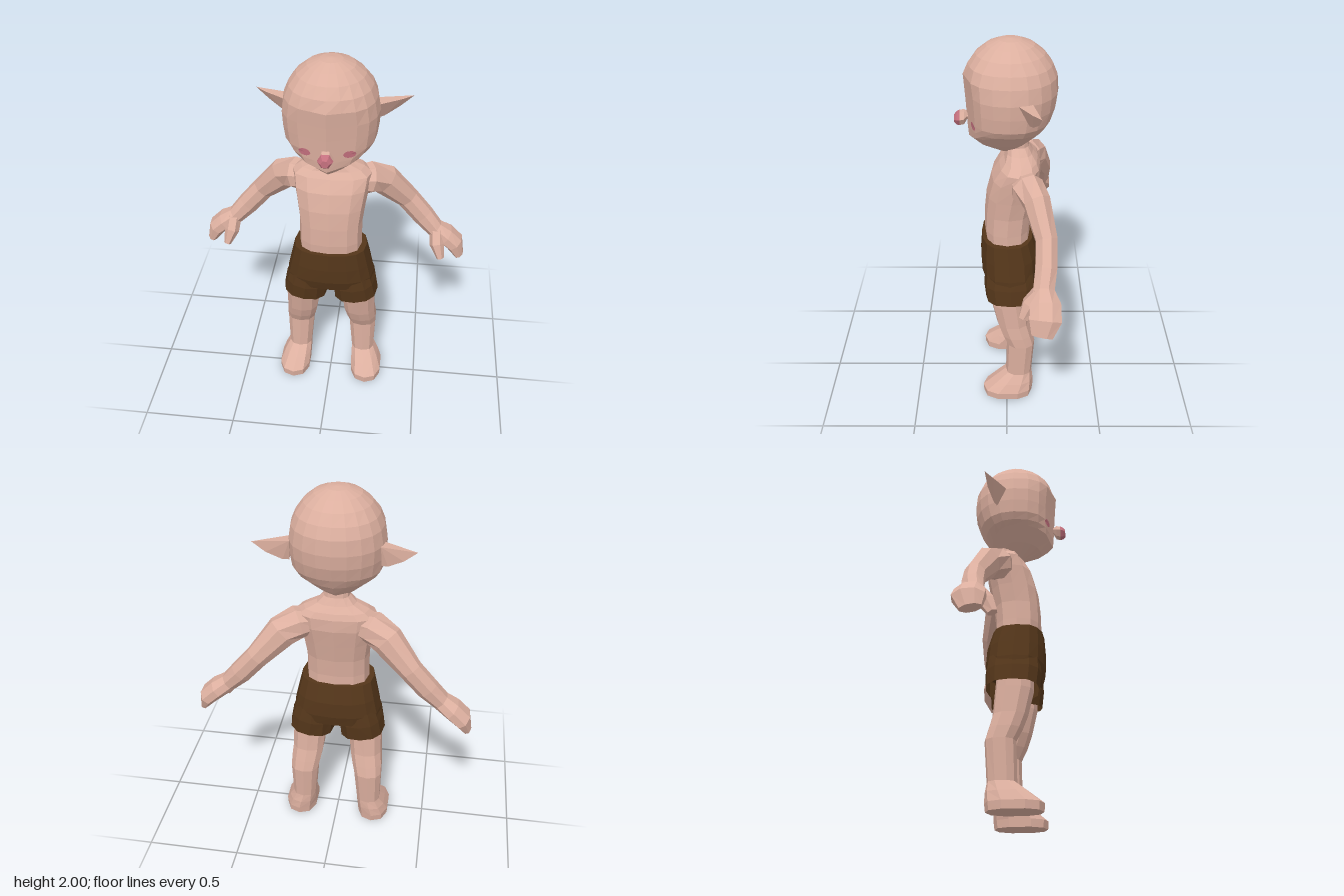
import * as THREE from 'three';
import { ConvexGeometry } from 'three/addons/geometries/ConvexGeometry.js';

const V = (x, y, z) => new THREE.Vector3(x, y, z);
const bend = (t, p) => Math.sign(t) * Math.pow(Math.abs(t), p);

// Horizontal ring: half width w, back zb, front zf; pw/pz below 1 give a boxier outline
function ring(y, cx, w, zb, zf, { n = 12, pw = 1, pz = 1, tilt = 0, mid = (zb + zf) / 2 } = {}) {
  return Array.from({ length: n }, (_, i) => {
    const a = (i / n) * Math.PI * 2, c = bend(Math.cos(a), pz);
    const x = w * bend(Math.sin(a), pw);
    return V(cx + x, y + tilt * x, mid + c * (c > 0 ? zf - mid : mid - zb));
  });
}

// Skin of quads through rings, flat shaded, with fan caps
function loft(rings, capped = true) {
  const n = rings[0].length, pts = rings.flat(), index = [];
  for (let r = 0; r < rings.length - 1; r++)
    for (let i = 0; i < n; i++) {
      const j = (i + 1) % n, a = r * n + i, b = r * n + j;
      index.push(a, b, b + n, a, b + n, a + n);
    }
  const cap = (start, flip) => {
    const c = V(0, 0, 0);
    for (let i = 0; i < n; i++) c.addScaledVector(pts[start + i], 1 / n);
    const k = pts.push(c) - 1;
    for (let i = 0; i < n; i++) {
      const a = start + i, b = start + (i + 1) % n;
      index.push(k, flip ? b : a, flip ? a : b);
    }
  };
  if (capped) {
    cap(0, true);
    cap((rings.length - 1) * n, false);
  }
  const g = new THREE.BufferGeometry().setFromPoints(pts);
  g.setIndex(index);
  return flat(g);
}

function flat(g) {
  const out = g.index ? g.toNonIndexed() : g;
  out.computeVertexNormals();
  return out;
}

// Tube along a path of [x, y, z, across radius, z radius]
function limb(path, n = 8) {
  const c = path.map(p => V(p[0], p[1], p[2]));
  return loft(path.map((p, k) => {
    const dir = c[Math.min(k + 1, c.length - 1)].clone().sub(c[Math.max(k - 1, 0)]).normalize();
    const u = V(0, 0, 1).addScaledVector(dir, -dir.z).normalize();
    const v = dir.clone().cross(u);
    return Array.from({ length: n }, (_, i) => {
      const a = ((i + 0.5) / n) * Math.PI * 2;
      return c[k].clone().addScaledVector(u, Math.cos(a) * p[4]).addScaledVector(v, Math.sin(a) * p[3]);
    });
  }));
}

// Mirror in x, keeping faces outward
function mirrored(g) {
  const m = g.clone(), p = m.attributes.position;
  for (let i = 0; i < p.count; i += 3) {
    const t = [0, 2, 1].map(k => V(0, 0, 0).fromBufferAttribute(g.attributes.position, i + k));
    t.forEach((q, k) => p.setXYZ(i + k, -q.x, q.y, q.z));
  }
  m.computeVertexNormals();
  return m;
}

export function createModel() {
  const model = new THREE.Group();
  const mat = (name, color) => Object.assign(new THREE.MeshStandardMaterial({ color }), { name });
  const skin = mat('skin', 0xdcaf9f), cloth = mat('brown cloth', 0x54361a), pink = mat('pink', 0xc4707e);
  cloth.side = THREE.DoubleSide;

  const add = (name, g, m) => {
    const mesh = new THREE.Mesh(g, m);
    mesh.name = name;
    model.add(mesh);
    return mesh;
  };
  const pair = (name, g, m) => {
    add('left' + name, g, m);
    add('right' + name, mirrored(g), m);
  };

  // Head: round skull, face cut to a centre ridge, V-shaped jaw
  // rings [y, half width, back, front, ridge slope, jaw lift]
  const head = add('head', loft([
    [1.42, 0.03, -0.04, 0.03, 0, 0.3], [1.457, 0.105, -0.085, 0.128, 0.3, 0.3], [1.505, 0.175, -0.145, 0.188, 0.33, 0.28],
    [1.555, 0.2, -0.185, 0.193, 0.33, 0.1], [1.61, 0.222, -0.215, 0.196, 0.33, 0], [1.68, 0.232, -0.238, 0.2, 0.33, 0],
    [1.75, 0.236, -0.246, 0.205, 0.33, 0], [1.825, 0.223, -0.24, 0.211, 0.33, 0], [1.88, 0.2, -0.217, 0.187, 0.2, 0],
    [1.93, 0.164, -0.18, 0.15, 0, 0], [1.97, 0.115, -0.13, 0.1, 0, 0], [1.994, 0.055, -0.07, 0.04, 0, 0],
    [2, 0.01, -0.025, -0.005, 0, 0]
  ].map(([y, w, b, f, slope, lift]) => {
    const pts = ring(y, 0, w, b, f, { n: 20, pz: slope ? 0.87 : 1, mid: -0.015 });
    for (const p of pts) {
      p.z = Math.min(p.z, f - slope * Math.abs(p.x));
      p.y += lift * Math.abs(p.x);
    }
    return pts;
  })), skin);

  // Pointed leaf-shaped ears
  pair('Ear', flat(new ConvexGeometry([
    V(0.215, 1.752, -0.045), V(0.22, 1.652, -0.105), V(0.388, 1.757, -0.155), V(0.215, 1.755, -0.12),
    V(0.25, 1.658, -0.12), V(0.325, 1.703, -0.145), V(0.33, 1.753, -0.115)
  ])), skin);

  // Nose: skin stalk and cup with a pink six-sided tip
  const noseRing = ([z, r, y]) => Array.from({ length: 6 }, (_, i) =>
    V(r * Math.cos(i * Math.PI / 3), y + r * Math.sin(i * Math.PI / 3), z));
  add('noseStalk', loft([[0.16, 0.018, 1.616], [0.195, 0.02, 1.612], [0.21, 0.037, 1.603], [0.232, 0.038, 1.599]].map(noseRing)), skin);
  add('noseTip', loft([[0.232, 0.038, 1.599], [0.245, 0.034, 1.597], [0.259, 0.02, 1.595]].map(noseRing)), pink);

  // Cheek spots laid on the face
  const cheek = new THREE.CircleGeometry(0.03, 10).scale(1, 0.64, 1).translate(0.107, 1.6, 0);
  const cp = cheek.attributes.position, ray = new THREE.Raycaster();
  for (let i = 0; i < cp.count; i++) {
    ray.set(V(cp.getX(i), cp.getY(i), 1), V(0, 0, -1));
    cp.setZ(i, ray.intersectObject(head)[0].point.z + 0.004);
  }
  pair('Cheek', flat(cheek), pink);

  // Torso and neck
  add('torso', loft([
    [0.9, 0.165, -0.12, 0.11], [1, 0.165, -0.12, 0.118], [1.1, 0.165, -0.13, 0.115],
    [1.2, 0.178, -0.15, 0.105], [1.3, 0.195, -0.17, 0.08], [1.365, 0.205, -0.168, 0.04],
    [1.395, 0.165, -0.155, 0.015], [1.425, 0.1, -0.13, 0.005], [1.46, 0.066, -0.11, 0], [1.53, 0.065, -0.1, 0]
  ].map(([y, w, b, f]) => ring(y, 0, w, b, f, { pw: 0.8, pz: 0.75 }))), skin);

  // Arms with mitten hands and thumbs
  pair('Arm', limb([
    [0.1, 1.31, -0.07, 0.06, 0.06], [0.19, 1.305, -0.1, 0.086, 0.085], [0.265, 1.27, -0.145, 0.085, 0.07],
    [0.39, 1.135, -0.19, 0.062, 0.056], [0.48, 1.03, -0.187, 0.06, 0.056], [0.55, 0.955, -0.175, 0.05, 0.055],
    [0.61, 0.915, -0.18, 0.053, 0.08], [0.665, 0.865, -0.18, 0.05, 0.083], [0.695, 0.795, -0.165, 0.026, 0.055]
  ]), skin);
  pair('Thumb', limb([
    [0.56, 0.95, -0.155, 0.04, 0.04], [0.568, 0.89, -0.11, 0.04, 0.042], [0.592, 0.82, -0.078, 0.02, 0.026]
  ], 6), skin);

  // Legs and feet
  pair('Leg', loft([
    [0, 0.212, 0.088, -0.14, 0.13], [0.04, 0.212, 0.09, -0.145, 0.133], [0.09, 0.2, 0.08, -0.145, 0.07],
    [0.14, 0.186, 0.066, -0.138, 0.005], [0.34, 0.18, 0.078, -0.152, 0], [0.4, 0.172, 0.085, -0.137, 0.03],
    [0.47, 0.162, 0.088, -0.118, 0.055], [0.6, 0.155, 0.092, -0.108, 0.085], [0.7, 0.15, 0.092, -0.1, 0.085]
  ].map(([y, x, w, b, f]) => ring(y, x, w, b, f, { n: 10, pw: 0.85, pz: 0.8 }))), skin);

  // Shorts: hip section flowing into two open legs
  add('shortsHips', loft([
    [0.685, 0.15, -0.1, 0.07], [0.705, 0.24, -0.158, 0.12], [0.765, 0.235, -0.17, 0.138],
    [0.85, 0.216, -0.165, 0.14], [0.95, 0.193, -0.137, 0.133]
  ].map(([y, w, b, f]) => ring(y, 0, w, b, f, { n: 16, pw: 0.85, pz: 0.7 }))), cloth);
  pair('ShortsLeg', loft([
    [0.615, 0.139, 0.122, -0.155, 0.112], [0.7, 0.128, 0.118, -0.16, 0.122], [0.775, 0.12, 0.1, -0.15, 0.115]
  ].map(([y, x, w, b, f]) => ring(y, x, w, b, f, { pw: 0.85, pz: 0.75, tilt: 0.12 })), false), cloth);

  return model;
}
